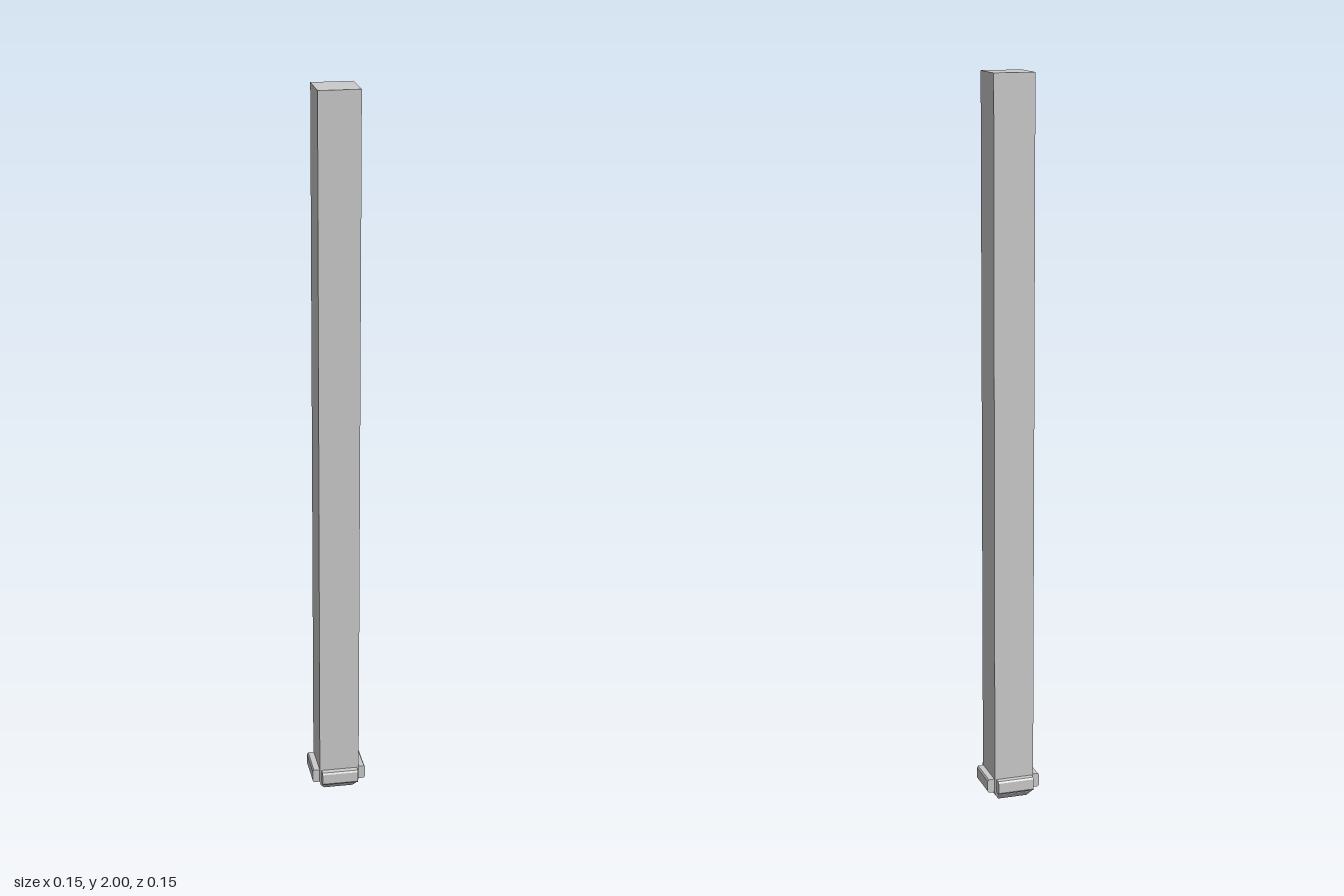
import * as THREE from 'three';

export function createModel() {
  const group = new THREE.Group();
  const material = new THREE.MeshStandardMaterial({ color: 0xcccccc, flatShading: true });
  const half = 0.056;

  // Four-sided solid of revolution: profile points are [half width, height], bottom to top
  const squareLathe = (profile) => {
    const points = profile.map(([w, y]) => new THREE.Vector2(w * Math.SQRT2, y));
    const geometry = new THREE.LatheGeometry(points, 4, Math.PI / 4).toNonIndexed();
    geometry.computeVertexNormals();
    return geometry;
  };

  const add = (name, geometry) => {
    const mesh = new THREE.Mesh(geometry, material);
    mesh.name = name;
    group.add(mesh);
    return mesh;
  };

  // Long square post
  const foot = 0.026;
  const post = add('post', new THREE.BoxGeometry(half * 2, 2 - foot, half * 2));
  post.position.y = (2 + foot) / 2;

  // Tapered foot under the post
  add('taperedFoot', squareLathe([[0, 0], [0.041, 0], [0.053, 0.016], [half, foot], [0, foot]]));

  // Chamfered pad on each side; profile is [outward distance, height]
  const padWidth = 0.102;
  const padShape = new THREE.Shape([
    [0.05, 0.026], [0.072, 0.026], [0.0755, 0.031],
    [0.0755, 0.06], [0.072, 0.065], [0.05, 0.065],
  ].map(([d, y]) => new THREE.Vector2(d, y)));
  const padGeometry = new THREE.ExtrudeGeometry(padShape, { depth: padWidth, bevelEnabled: false });
  padGeometry.translate(0, 0, -padWidth / 2);

  ['leftPad', 'backPad', 'rightPad', 'frontPad'].forEach((name, i) => {
    add(name, padGeometry).rotation.y = (i * Math.PI) / 2;
  });

  return group;
}
